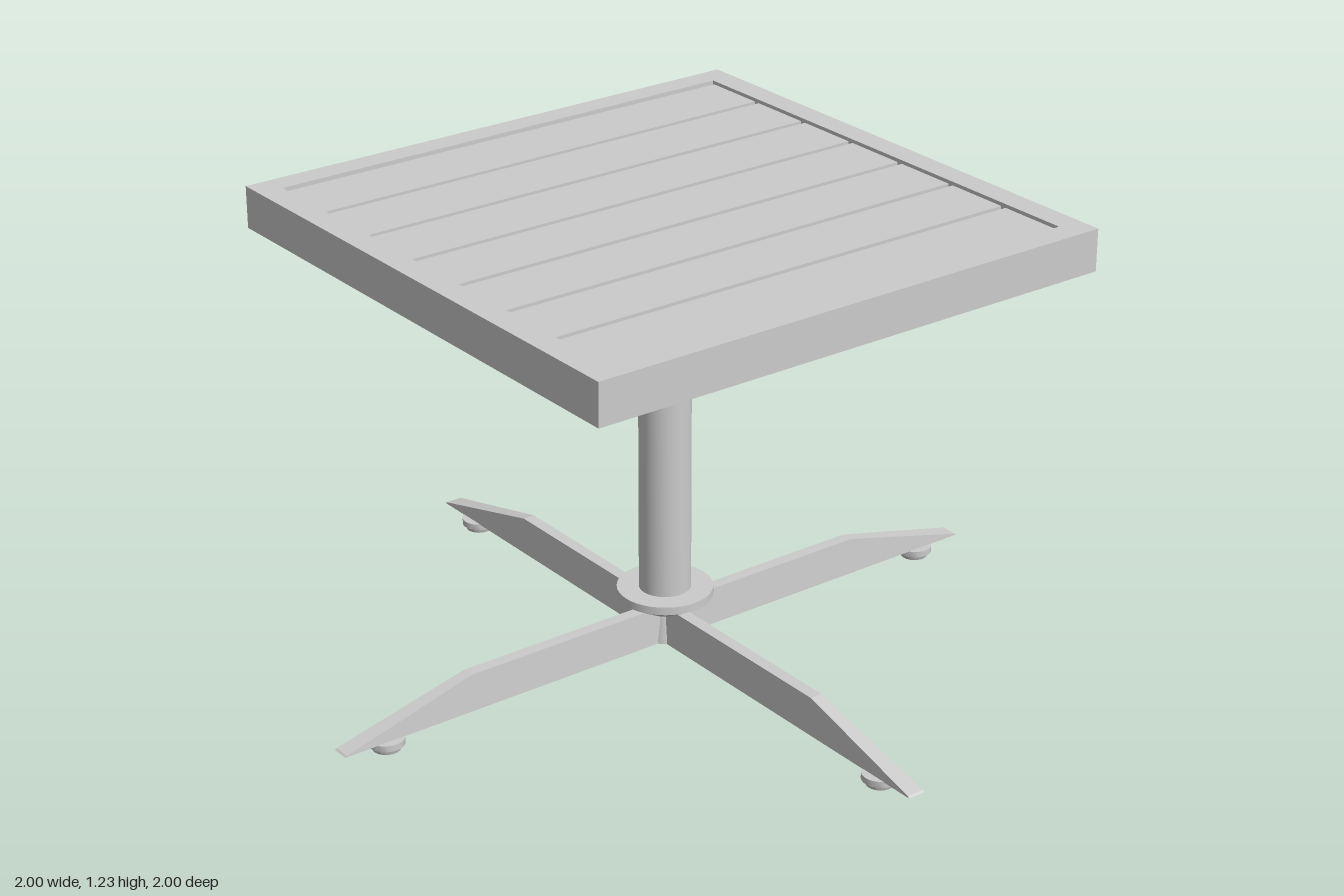
import * as THREE from 'three';
import { toCreasedNormals } from 'three/addons/utils/BufferGeometryUtils.js';

const grey = new THREE.MeshStandardMaterial({ color: 0xcccccc });

function add(parent, name, geometry, x = 0, y = 0, z = 0) {
  const mesh = new THREE.Mesh(geometry, grey);
  mesh.name = name;
  mesh.position.set(x, y, z);
  parent.add(mesh);
  return mesh;
}

// Turned part from [radius, height] points, listed bottom to top
function turned(points, sides = 40) {
  const profile = points.map(([r, y]) => new THREE.Vector2(r, y));
  return toCreasedNormals(new THREE.LatheGeometry(profile, sides), 0.5);
}

// Leg along +x: flat underside, sloping tip, sides drawn in towards the top
function legGeometry() {
  const base = 0.03, height = 0.1;
  const shape = new THREE.Shape();
  shape.moveTo(0, base);
  shape.lineTo(1, base);
  shape.lineTo(0.995, base + 0.004);
  shape.lineTo(0.62, base + height);
  shape.lineTo(0, base + height);
  shape.closePath();
  const geo = new THREE.ExtrudeGeometry(shape, { depth: 0.048, bevelEnabled: false });
  geo.translate(0, 0, -0.024);
  const p = geo.attributes.position;
  for (let i = 0; i < p.count; i++) {
    p.setZ(i, p.getZ(i) * (1 - 0.3 * (p.getY(i) - base) / height));
  }
  geo.computeVertexNormals();
  return geo;
}

function createTop() {
  const top = new THREE.Group();
  top.name = 'tableTop';
  const half = 0.75, inner = 0.683, bottom = 1.12, surface = 1.232;

  // Square rim with an open middle
  const rim = new THREE.Shape();
  rim.moveTo(-half, -half);
  rim.lineTo(half, -half);
  rim.lineTo(half, half);
  rim.lineTo(-half, half);
  rim.closePath();
  const opening = new THREE.Path();
  opening.moveTo(-inner, -inner);
  opening.lineTo(-inner, inner);
  opening.lineTo(inner, inner);
  opening.lineTo(inner, -inner);
  opening.closePath();
  rim.holes.push(opening);
  const rimGeo = new THREE.ExtrudeGeometry(rim, { depth: surface - bottom, bevelEnabled: false });
  rimGeo.rotateX(-Math.PI / 2);
  add(top, 'rim', rimGeo, 0, bottom, 0);

  // Panel closing the underside, below the slats
  add(top, 'underPanel', new THREE.BoxGeometry(inner * 2, 0.075, inner * 2), 0, bottom + 0.0375, 0);

  // Slats across the width, slightly below the rim
  const count = 7, pitch = inner * 2 / count, gap = 0.016;
  const slat = new THREE.BoxGeometry(inner * 2 - 0.006, 0.03, pitch - gap);
  for (let i = 0; i < count; i++) {
    add(top, 'slat', slat, 0, surface - 0.023, (i - (count - 1) / 2) * pitch);
  }
  return top;
}

export function createModel() {
  const model = new THREE.Group();
  model.name = 'pedestalTable';
  model.add(createTop());

  // Column and its collar
  add(model, 'column', turned([[0, 0.17], [0.068, 0.17], [0.068, 1.121], [0, 1.121]]));
  add(model, 'collar', turned([[0, 0.11], [0.045, 0.11], [0.126, 0.158], [0.126, 0.18], [0, 0.18]]));
  add(model, 'hub', turned([[0, 0.03], [0.048, 0.03], [0.03, 0.125], [0, 0.125]], 24));

  // Four legs, each with a levelling foot
  const legGeo = legGeometry();
  const footGeo = turned([[0, 0], [0.036, 0], [0.04, 0.012], [0.047, 0.014], [0.047, 0.031], [0, 0.031]], 28);
  for (let i = 0; i < 4; i++) {
    const leg = new THREE.Group();
    leg.name = 'leg';
    add(leg, 'legBeam', legGeo);
    add(leg, 'foot', footGeo, 0.866, 0, 0);
    leg.rotation.y = i * Math.PI / 2;
    model.add(leg);
  }
  return model;
}
